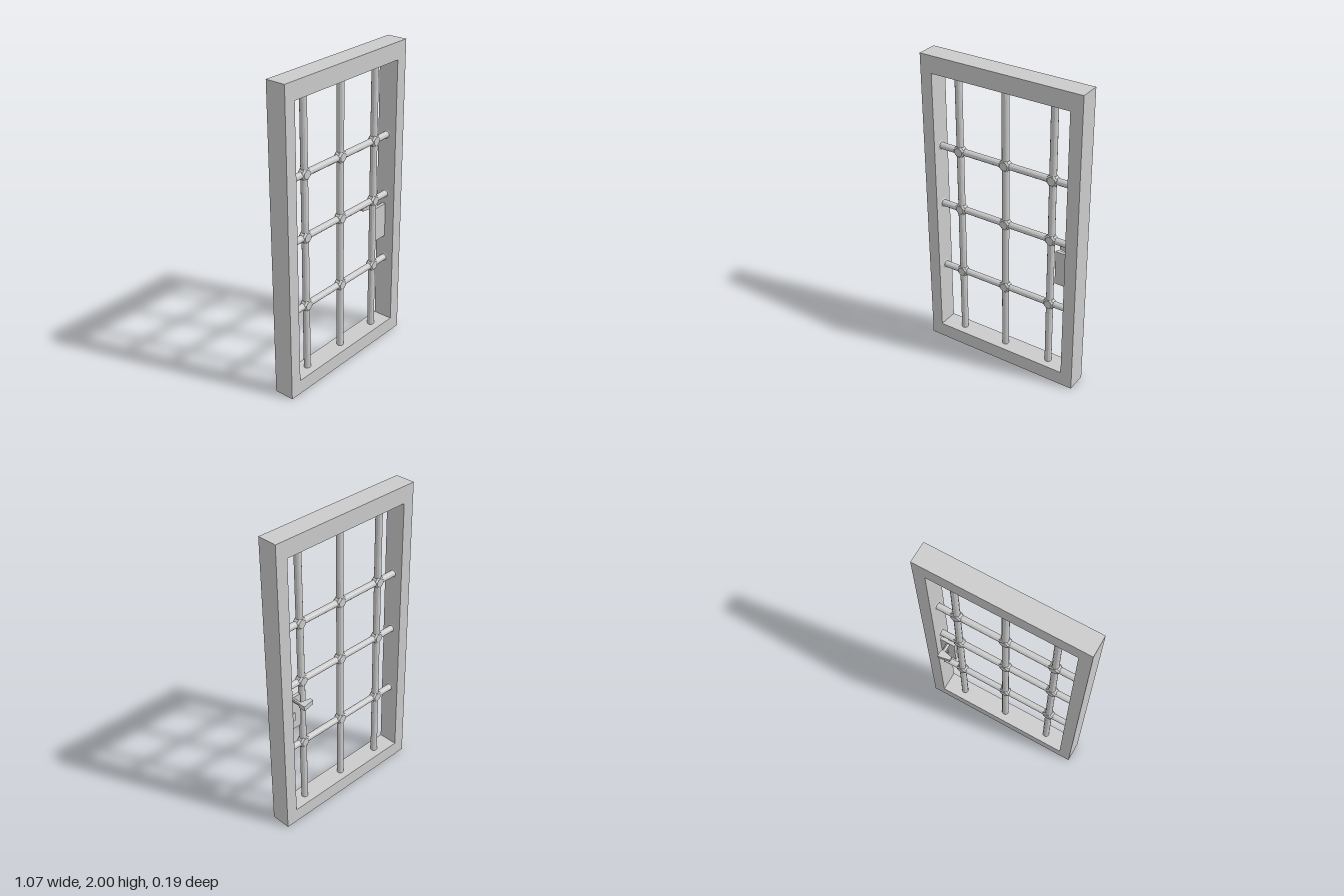
import * as THREE from 'three';

const material = new THREE.MeshStandardMaterial({ color: 0xcccccc, flatShading: true });
const BAR_Z = 0.025;

function add(parent, name, geometry, x = 0, y = 0, z = 0) {
  const mesh = new THREE.Mesh(geometry, material);
  mesh.name = name;
  mesh.position.set(x, y, z);
  parent.add(mesh);
  return mesh;
}

function polygon(points) {
  return new THREE.Shape(points.map(([x, y]) => new THREE.Vector2(x, y)));
}

const rect = (x0, y0, x1, y1) => polygon([[x0, y0], [x1, y0], [x1, y1], [x0, y1]]);

function flatExtrude(shape, depth) {
  return new THREE.ExtrudeGeometry(shape, { depth, bevelEnabled: false });
}

// Chamfered octagonal block where two bars cross
function jointGeometry() {
  const a = 0.01, b = 0.026;
  const shape = polygon([[a, -b], [b, -a], [b, a], [a, b], [-a, b], [-b, a], [-b, -a], [-a, -b]]);
  const geometry = new THREE.ExtrudeGeometry(shape, {
    depth: 0.03, bevelEnabled: true, bevelSize: 0.011, bevelThickness: 0.01, bevelSegments: 1,
  });
  return geometry.translate(0, 0, -0.015);
}

export function createModel() {
  const model = new THREE.Group();
  model.name = 'barredDoor';

  // Rectangular frame with its opening
  const outline = rect(-0.533, 0, 0.533, 2);
  outline.holes.push(rect(-0.457, 0.095, 0.455, 1.89));
  add(model, 'frame', flatExtrude(outline, 0.132), 0, 0, -0.04);

  // Grille of round bars with joints at the crossings
  const grille = new THREE.Group();
  grille.name = 'grille';
  model.add(grille);
  const columns = [-0.316, 0.004, 0.324];
  const rows = [0.543, 1.003, 1.403];

  const upright = new THREE.CylinderGeometry(0.022, 0.022, 1.82, 12);
  for (const x of columns) add(grille, 'verticalBar', upright, x, 0.9925, BAR_Z);

  const crossbar = new THREE.CylinderGeometry(0.021, 0.021, 0.93, 12).rotateZ(Math.PI / 2);
  const collar = new THREE.CylinderGeometry(0.021, 0.037, 0.006, 12).rotateZ(-Math.PI / 2);
  const joint = jointGeometry();
  for (const y of rows) {
    add(grille, 'horizontalBar', crossbar, 0, y, BAR_Z);
    add(grille, 'barCollar', collar, -0.456, y, BAR_Z);
    add(grille, 'barCollar', collar, 0.454, y, BAR_Z).rotation.y = Math.PI;
    for (const x of columns) add(grille, 'barJoint', joint, x, y, BAR_Z);
  }

  // Lock case, keyhole cover and lever handle on the back
  const lock = new THREE.Group();
  lock.name = 'lock';
  model.add(lock);
  add(lock, 'lockPlate', new THREE.BoxGeometry(0.103, 0.23, 0.022), 0.4065, 0.815, 0.015);
  add(lock, 'keyholeCover', new THREE.BoxGeometry(0.024, 0.055, 0.008), 0.416, 0.79, 0.002);

  const stem = new THREE.CylinderGeometry(0.012, 0.012, 0.07, 10).rotateX(Math.PI / 2);
  add(lock, 'handleStem', stem, 0.403, 0.905, -0.027);

  // Lever drawn in plan, where the shape's y becomes -z
  const plan = polygon([
    [0.336, 0.06], [0.4, 0.047], [0.417, 0.052], [0.417, 0.096], [0.4, 0.096], [0.336, 0.084],
  ]);
  const lever = flatExtrude(plan, 0.03).rotateX(-Math.PI / 2);
  add(lock, 'handleLever', lever, 0, 0.89, 0);

  return model;
}
